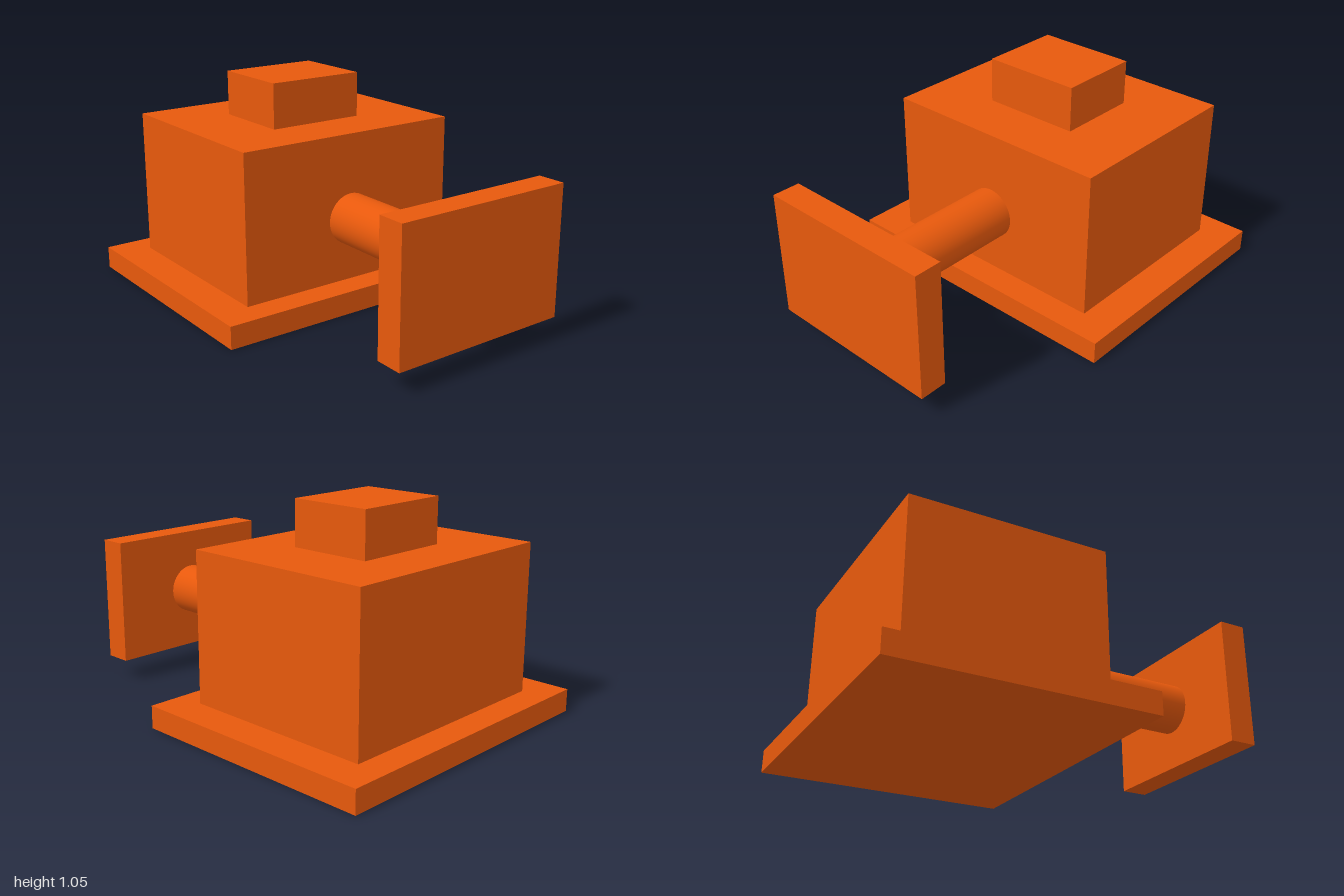
import * as THREE from 'three';

export function createModel() {
  const model = new THREE.Group();
  const orange = new THREE.MeshStandardMaterial({ color: 0xe8590c });
  orange.name = 'orange';

  const add = (name, geometry, x, y, z) => {
    const mesh = new THREE.Mesh(geometry, orange);
    mesh.name = name;
    mesh.position.set(x, y, z);
    model.add(mesh);
    return mesh;
  };

  // Box centred on x = 0, given its width and its y and z ranges
  const block = (name, width, y0, y1, z0, z1) =>
    add(name, new THREE.BoxGeometry(width, y1 - y0, z1 - z0), 0, (y0 + y1) / 2, (z0 + z1) / 2);

  // Stacked housing
  block('basePlate', 1.516, 0, 0.11, -1, 0.24);
  block('body', 1.172, 0.11, 0.83, -0.86, 0.103);
  block('topCap', 0.492, 0.83, 1.05, -0.585, -0.173);

  // Round shaft carrying the front plate
  const shaft = add('shaft', new THREE.CylinderGeometry(0.124, 0.124, 0.762, 48), 0, 0.416, 0.484);
  shaft.rotation.x = Math.PI / 2;
  block('frontPlate', 0.896, 0.106, 0.726, 0.865, 1);

  return model;
}
